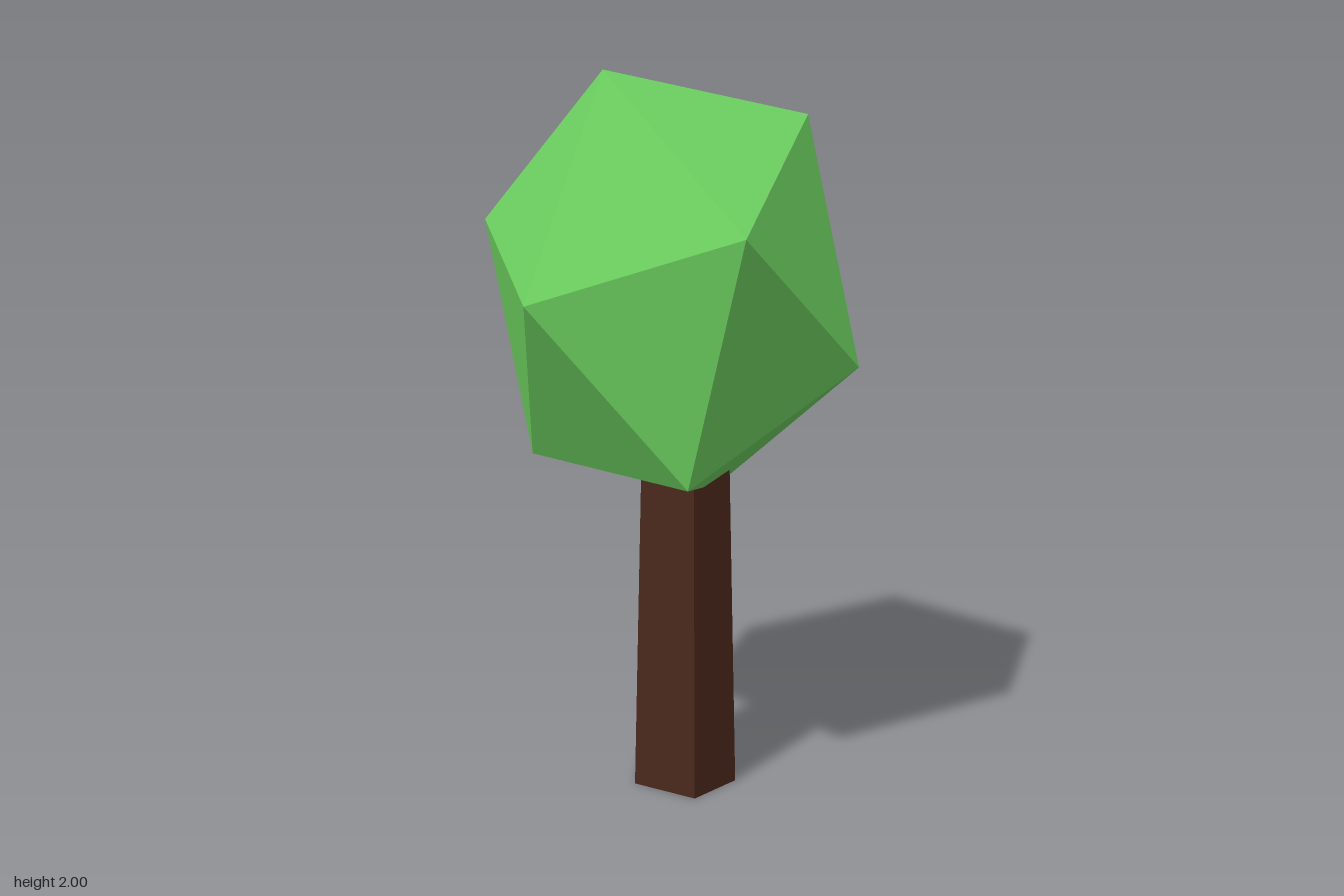
import * as THREE from 'three';
import { ConvexGeometry } from 'three/addons/geometries/ConvexGeometry.js';

const mat = (color) => new THREE.MeshStandardMaterial({ color, flatShading: true });

// Twenty-sided crown lying on its side: two poles on x and two staggered rings of five
function crownGeometry() {
  const points = [new THREE.Vector3(-0.5, 0, 0), new THREE.Vector3(0.5, 0, 0)];
  for (const side of [-1, 1]) {
    for (let i = 0; i < 5; i++) {
      const a = (i * 2 * Math.PI) / 5;
      points.push(new THREE.Vector3(side * 0.2236, -side * 0.583 * Math.cos(a), 0.5257 * Math.sin(a)));
    }
  }
  return new ConvexGeometry(points);
}

export function createModel() {
  const tree = new THREE.Group();
  tree.name = 'tree';

  const crown = new THREE.Mesh(crownGeometry(), mat(0x6dd060));
  crown.name = 'crown';
  crown.position.y = 1.417;
  tree.add(crown);

  // Tapered five-sided trunk, flat side to the front, its top buried in the crown
  const height = 1.1;
  const trunkGeometry = new THREE.CylinderGeometry(0.117, 0.1435, height, 5);
  trunkGeometry.rotateY(Math.PI);
  trunkGeometry.scale(1, 1, 1.18);
  const trunk = new THREE.Mesh(trunkGeometry, mat(0x4a281c));
  trunk.name = 'trunk';
  trunk.position.set(0.019, height / 2, 0.048);
  tree.add(trunk);

  return tree;
}
